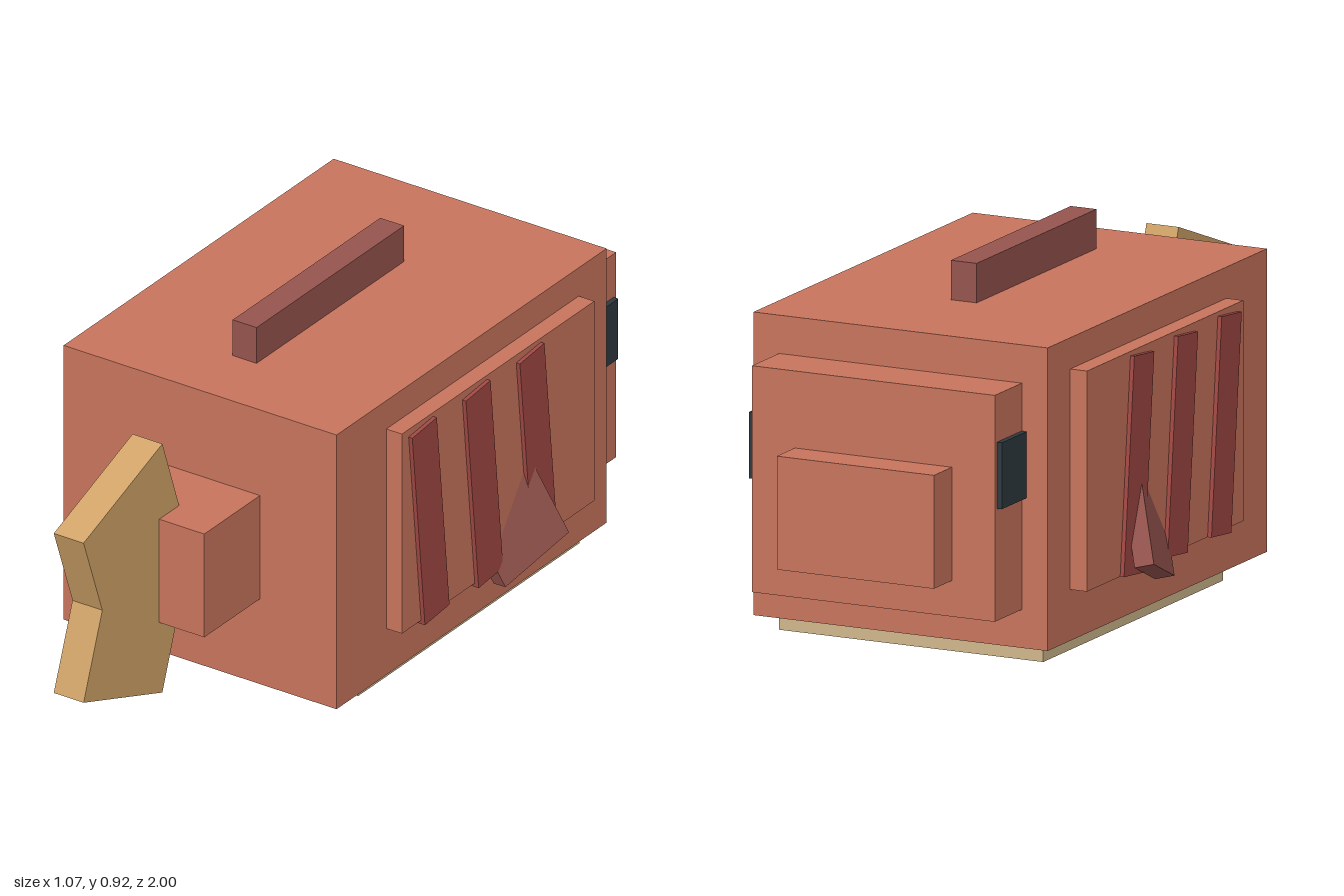
import * as THREE from 'three';

const mat = (name, color) => {
  const m = new THREE.MeshStandardMaterial({ color });
  m.name = name;
  return m;
};

export function createModel() {
  const model = new THREE.Group();
  model.name = 'blockFish';
  const coral = mat('coral', 0xc8745c);
  const cream = mat('cream', 0xd0b78c);
  const sand = mat('sand', 0xd0a368);
  const crimson = mat('crimson', 0xa04844);
  const maroon = mat('maroon', 0x96544e);
  const slate = mat('slate', 0x2f3940);

  const add = (name, geometry, material) => {
    const mesh = new THREE.Mesh(geometry, material);
    mesh.name = name;
    model.add(mesh);
    return mesh;
  };
  // box centred on x, given its half width and y and z ranges
  const block = (name, material, hx, y0, y1, z0, z1) => {
    const mesh = add(name, new THREE.BoxGeometry(2 * hx, y1 - y0, z1 - z0), material);
    mesh.position.set(0, (y0 + y1) / 2, (z0 + z1) / 2);
  };

  block('body', coral, 0.412, 0.045, 0.82, -0.757, 0.425);
  block('sidePanels', coral, 0.459, 0.176, 0.74, -0.635, 0.207);
  block('head', coral, 0.34, 0.143, 0.722, -0.903, -0.74);
  block('snout', coral, 0.22, 0.235, 0.525, -1, -0.89);
  block('tailBase', coral, 0.181, 0.286, 0.578, 0.41, 0.669);
  block('belly', cream, 0.37, 0, 0.06, -0.7, 0.27);
  block('dorsalFin', maroon, 0.036, 0.8, 0.921, -0.416, 0.23);
  block('eyes', slate, 0.354, 0.43, 0.6, -0.892, -0.758);

  // forked tail, outlined in (z, y) and extruded across x
  const outline = [[0.53, 0.432], [0.655, 0.082], [1, 0.207], [0.918, 0.432], [1, 0.658], [0.655, 0.785]];
  const shape = new THREE.Shape(outline.map(([z, y]) => new THREE.Vector2(-z, y)));
  const tailGeometry = new THREE.ExtrudeGeometry(shape, { depth: 0.09, bevelEnabled: false });
  tailGeometry.translate(0, 0, -0.045).rotateY(Math.PI / 2);
  add('tailFin', tailGeometry, sand);

  for (const side of [1, -1]) {
    const prefix = side > 0 ? 'left' : 'right';

    // slanted stripes on the side panel
    [0.096, -0.139, -0.375].forEach((z, i) => {
      const stripe = add(`${prefix}Stripe${i + 1}`, new THREE.BoxGeometry(0.03, 0.556, 0.108), crimson);
      stripe.position.set(side * 0.455, 0.447, z);
      stripe.rotation.x = 0.1;
    });

    // pectoral fin, swept out and down from the panel
    const along = new THREE.Vector3(-0.217 * side, -0.345, 0.907).normalize();
    const up = new THREE.Vector3(-0.308 * side, 0.91, 0.284).normalize();
    const across = new THREE.Vector3().crossVectors(along, up).normalize();
    up.crossVectors(across, along);
    const fin = add(`${prefix}PectoralFin`, new THREE.BoxGeometry(0.226, 0.28, 0.05), maroon);
    fin.quaternion.setFromRotationMatrix(new THREE.Matrix4().makeBasis(along, up, across));
    fin.position.set(0.533 * side, 0.207, -0.417)
      .addScaledVector(along, 0.113)
      .addScaledVector(up, 0.14)
      .addScaledVector(across, 0.025 * side);
  }
  return model;
}
